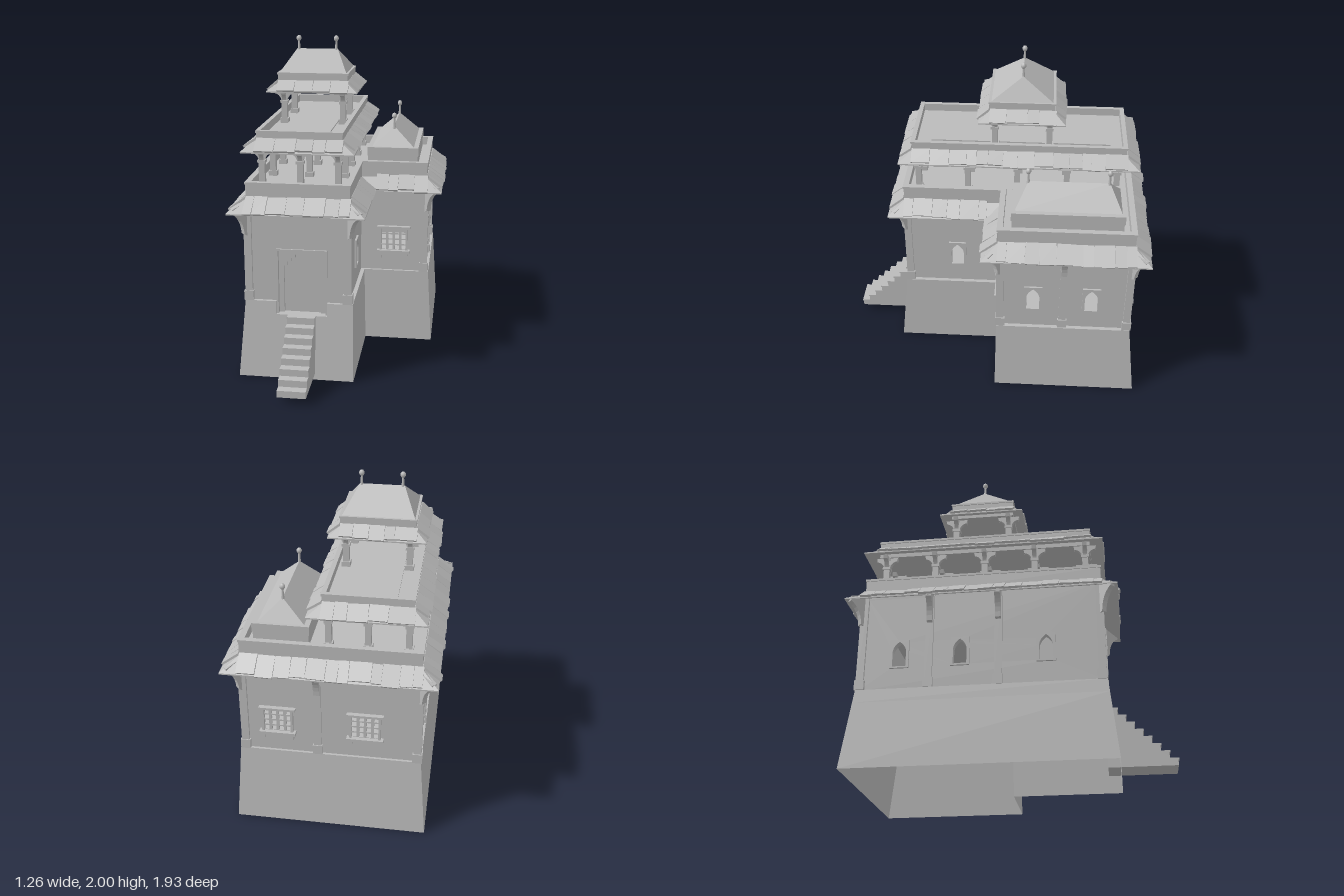
import * as THREE from 'three';

const stone = new THREE.MeshStandardMaterial({ color: 0xbababa, side: THREE.DoubleSide });
stone.name = 'grey stone';

let seed = 7;
const rand = () => (seed = (seed * 16807) % 2147483647) / 2147483647;

function add(parent, name, geo, x = 0, y = 0, z = 0) {
  const m = new THREE.Mesh(geo, stone);
  m.name = name;
  m.position.set(x, y, z);
  parent.add(m);
  return m;
}
const box = (parent, name, w, h, d, x, y, z) => add(parent, name, new THREE.BoxGeometry(w, h, d), x, y, z);
const rect = (x0, x1, z0, z1) => [[x0, z1], [x1, z1], [x1, z0], [x0, z0]];
const shapeOf = pts => new THREE.Shape(pts.map(p => new THREE.Vector2(p[0], p[1])));
const extrude = (shape, depth) => new THREE.ExtrudeGeometry(shape, { depth, bevelEnabled: false, curveSegments: 6 });

// Edge direction, outward normal and length for edge i of a plan polygon
function edge(poly, i) {
  const n = poly.length, a = poly[i % n], b = poly[(i + 1) % n];
  const len = Math.hypot(b[0] - a[0], b[1] - a[1]);
  const t = [(b[0] - a[0]) / len, (b[1] - a[1]) / len];
  return { a, b, t, out: [-t[1], t[0]], len };
}
function offset(poly, d) {
  return poly.map((p, i) => {
    const n1 = edge(poly, i + poly.length - 1).out, n2 = edge(poly, i).out;
    return [p[0] + (n1[0] + n2[0]) * d, p[1] + (n1[1] + n2[1]) * d];
  });
}
// Skin through stacked plan polygons, rings = [[poly, y], ...]
function loft(rings) {
  const v = [];
  for (let k = 0; k + 1 < rings.length; k++) {
    const [p, y0] = rings[k], [q, y1] = rings[k + 1];
    p.forEach((a, i) => {
      const j = (i + 1) % p.length, b = p[j], c = q[j], d = q[i];
      v.push(a[0], y0, a[1], b[0], y0, b[1], c[0], y1, c[1], a[0], y0, a[1], c[0], y1, c[1], d[0], y1, d[1]);
    });
  }
  const g = new THREE.BufferGeometry();
  g.setAttribute('position', new THREE.Float32BufferAttribute(v, 3));
  g.computeVertexNormals();
  return g;
}
const slab = (poly, h) => extrude(shapeOf(poly.map(p => [p[0], -p[1]])), h).rotateX(-Math.PI / 2);
const cap = poly => new THREE.ShapeGeometry(shapeOf(poly.map(p => [p[0], -p[1]]))).rotateX(-Math.PI / 2);

// Group whose x runs along an edge, y is up and z points outward
function edgeFrame(parent, name, poly, i) {
  const e = edge(poly, i), g = new THREE.Group();
  g.name = name;
  g.position.set(e.a[0], 0, e.a[1]);
  g.rotation.y = Math.atan2(e.out[0], e.out[1]);
  parent.add(g);
  return g;
}

// Sloping eave covered with uneven stone slabs
function eave(parent, poly, reach, yTop, yLow) {
  const outer = offset(poly, reach), inner = offset(poly, -0.01);
  add(parent, 'eave', loft([[inner, yTop - 0.03], [outer, yLow - 0.008], [outer, yLow], [inner, yTop]]));
  const drop = yTop - yLow, slope = Math.atan2(drop, reach), len = Math.hypot(drop, reach);
  poly.forEach((p, i) => {
    const e = edge(poly, i), o = edge(outer, i), f = edgeFrame(parent, 'eaveSlabs', poly, i);
    const along = (q, r) => (q[0] - r[0]) * e.t[0] + (q[1] - r[1]) * e.t[1];
    let s = Math.max(0, along(o.a, e.a));
    const end = Math.min(e.len, e.len + along(o.b, e.b)) + 0.01;
    while (s < end - 0.02) {
      let w = 0.055 + rand() * 0.075;
      if (end - s - w < 0.04) w = end - s;
      const l = len + (rand() - 0.4) * 0.022;
      const m = box(f, 'eaveSlab', w - 0.002, 0.013, l, s + w / 2, 0, 0);
      m.rotation.set(slope + (rand() - 0.5) * 0.08, (rand() - 0.5) * 0.05, (rand() - 0.5) * 0.05);
      m.position.y = yTop - Math.sin(slope) * l / 2 + 0.004 + rand() * 0.006;
      m.position.z = Math.cos(slope) * l / 2;
      s += w;
    }
  });
}
function parapet(parent, poly, y0, y1, thick, floor) {
  const lip = offset(poly, 0.005), inner = offset(poly, -thick);
  add(parent, 'parapet', loft([[poly, y0], [poly, y1 - 0.014], [lip, y1 - 0.014], [lip, y1], [inner, y1], [inner, floor]]));
  add(parent, 'terraceFloor', slab(offset(poly, -0.004), floor - y0), 0, y0, 0);
}

// Hipped roof: the top of a box narrowed to a ridge
function hip(parent, w, h, d, sx, sz, x, y, z) {
  const g = new THREE.BoxGeometry(w, h, d).toNonIndexed(), p = g.attributes.position;
  for (let i = 0; i < p.count; i++) if (p.getY(i) > 0) p.setXYZ(i, p.getX(i) * sx, p.getY(i), p.getZ(i) * sz);
  g.computeVertexNormals();
  add(parent, 'hippedRoof', g, x, y + h / 2, z);
}
function finial(parent, x, y, z) {
  const pts = [[0.012, -0.02], [0.008, 0.01], [0.006, 0.05], [0.01, 0.053], [0.016, 0.063], [0.016, 0.074], [0.009, 0.084], [0, 0.088]];
  add(parent, 'finial', new THREE.LatheGeometry(pts.map(p => new THREE.Vector2(...p)), 10), x, y, z);
}

// Open pillar with brackets spreading four ways
function pillar(parent, x, z, y0, y1) {
  const h = y1 - y0;
  box(parent, 'pillarBase', 0.052, 0.03, 0.052, x, y0 + 0.015, z);
  box(parent, 'pillar', 0.036, h, 0.036, x, y0 + h / 2, z);
  box(parent, 'pillarCapital', 0.048, 0.018, 0.048, x, y1 - 0.075, z);
  const s = new THREE.Shape();
  s.moveTo(-0.018, -0.066);
  s.lineTo(0.018, -0.066);
  s.quadraticCurveTo(0.028, -0.03, 0.062, -0.024);
  s.lineTo(0.068, 0);
  s.lineTo(-0.068, 0);
  s.lineTo(-0.062, -0.024);
  s.quadraticCurveTo(-0.028, -0.03, -0.018, -0.066);
  for (const r of [0, Math.PI / 2])
    add(parent, 'pillarBracket', extrude(s, 0.026).translate(0, 0, -0.013), x, y1, z).rotation.y = r;
}

// Curved bracket under the main eave; angle 0 points to +z
function eaveBracket(parent, x, z, angle, reach) {
  const s = new THREE.Shape();
  s.moveTo(0, 0.89);
  s.lineTo(0.018, 0.9);
  s.quadraticCurveTo(0.024, 1.0, reach, 1.035);
  s.lineTo(reach, 1.065);
  s.lineTo(0, 1.1);
  add(parent, 'eaveBracket', extrude(s, 0.034).translate(0, 0, -0.017), x, 0, z).rotation.y = angle - Math.PI / 2;
}
function pilaster(parent, x, z) {
  box(parent, 'pilaster', 0.046, 0.6, 0.046, x, 0.78, z);
  box(parent, 'pilasterFoot', 0.058, 0.06, 0.058, x, 0.51, z);
}

// Pointed opening centred on u
function pointedArch(u) {
  const s = new THREE.Path();
  s.moveTo(u - 0.04, 0.62);
  s.lineTo(u + 0.04, 0.62);
  s.lineTo(u + 0.04, 0.715);
  s.quadraticCurveTo(u + 0.036, 0.75, u, 0.776);
  s.quadraticCurveTo(u - 0.036, 0.75, u - 0.04, 0.715);
  s.lineTo(u - 0.04, 0.62);
  return s;
}
const block = (u, w, y0, y1) => [[u - w, y0], [u + w, y0], [u + w, y1], [u - w, y1]];

function archWindow(f, u) {
  const s = shapeOf(block(u, 0.056, 0.61, 0.79));
  s.holes.push(pointedArch(u));
  add(f, 'archWindowFrame', extrude(s, 0.012));
}
function latticeWindow(f, u) {
  const s = shapeOf(block(u, 0.09, 0.612, 0.782));
  for (let i = 0; i < 4; i++) for (let j = 0; j < 4; j++)
    s.holes.push(shapeOf(block(u + (i - 1.5) * 0.043, 0.0135, 0.625 + j * 0.037, 0.653 + j * 0.037)));
  add(f, 'windowLattice', extrude(s, 0.016), 0, 0, -0.006);
  box(f, 'windowSill', 0.215, 0.02, 0.04, u, 0.612, 0.016);
  box(f, 'windowLintel', 0.215, 0.014, 0.032, u, 0.777, 0.012);
  for (const x of [-0.085, 0.085]) {
    box(f, 'sillBracket', 0.018, 0.036, 0.022, u + x, 0.585, 0.01);
    box(f, 'windowPost', 0.014, 0.16, 0.024, u + x, 0.695, 0.01);
  }
}

export function createModel() {
  const model = new THREE.Group();

  // Battered hollow plinth with a landing niche at the door
  const foot = [[-0.57, 0.645], [0.135, 0.645], [0.135, -0.02], [0.575, -0.02], [0.575, -0.92], [-0.57, -0.92]];
  const top = [[-0.53, 0.595], [0.125, 0.595], [0.125, -0.028], [0.545, -0.028], [0.545, -0.865], [-0.53, -0.865]];
  const mid = foot.map((p, i) => p.map((c, k) => c + (top[i][k] - c) * 0.833));
  const niched = p => [p[0], [-0.34, p[0][1]], [-0.34, 0.535], [-0.03, 0.535], [-0.03, p[0][1]], ...p.slice(1)];
  add(model, 'plinth', loft([[foot, 0], [mid, 0.4]]));
  add(model, 'plinthCeiling', cap(mid), 0, 0.4, 0);
  add(model, 'plinthCourse', loft([[niched(mid), 0.4], [niched(top), 0.48]]));
  add(model, 'plinthTop', cap(niched(top)), 0, 0.48, 0);

  // Stair
  const steps = [[0.57, 0.04], [0.965, 0.04]];
  for (let i = 0; i < 8; i++) {
    const z = 0.965 - i * 0.047, y = 0.085 + i * 0.045;
    steps.push([z, y - 0.012], [z + 0.005, y - 0.012], [z + 0.005, y], [z - 0.047, y]);
  }
  steps.push([0.57, 0.4]);
  add(model, 'stair', extrude(shapeOf(steps), 0.17).rotateY(-Math.PI / 2), -0.1, 0, 0);

  // Walls with window openings
  const plan = [[-0.515, 0.575], [0.1, 0.575], [0.1, -0.045], [0.52, -0.045], [0.52, -0.85], [-0.515, -0.85]];
  const arches = [[], [0.325], [], [0.21, 0.57], [], [0.235, 0.595, 1.1]];
  const lattices = [[], [], [0.215], [], [0.205, 0.72], []];
  const midPilasters = [[], [], [], [0.395], [0.44], [0.41, 0.82]];
  plan.forEach((p, i) => {
    const { len } = edge(plan, i), f = edgeFrame(model, 'wallSide', plan, i);
    const notch = i ? [] : [[0.175, 0.48], [0.175, 0.81], [0.485, 0.81], [0.485, 0.48]];
    const s = shapeOf([[0, 0.48], ...notch, [len, 0.48], [len, 1.11], [0, 1.11]]);
    arches[i].forEach(u => { s.holes.push(pointedArch(u)); archWindow(f, u); });
    lattices[i].forEach(u => { s.holes.push(shapeOf(block(u, 0.085, 0.62, 0.775))); latticeWindow(f, u); });
    add(f, 'wall', extrude(s, 0.03), 0, 0, -0.03);
    midPilasters[i].forEach(u => { pilaster(f, u, -0.01); eaveBracket(f, u, 0.01, 0, 0.075); });
    if (i === 2) return;
    // Corner pilasters and diagonal brackets
    const a = edge(plan, i + 5).out, b = edge(plan, i).out, nx = a[0] + b[0], nz = a[1] + b[1];
    pilaster(model, p[0] - nx * 0.007, p[1] - nz * 0.007);
    eaveBracket(model, p[0] + nx * 0.005, p[1] + nz * 0.005, Math.atan2(nx, nz), 0.095);
  });

  // Recessed doorway with a stepped arch
  const half = [[0.112, 0.4], [0.112, 0.7], [0.09, 0.7], [0.09, 0.726], [0.066, 0.726], [0.066, 0.75], [0.042, 0.75], [0.042, 0.772]];
  const stepped = [...half, ...half.map(p => [-p[0], p[1]]).reverse()];
  const surround = shapeOf([[-0.155, 0.4], [-0.112, 0.4], ...stepped.slice(8, 15).reverse(), ...half.slice().reverse(), [0.155, 0.4], [0.155, 0.81], [-0.155, 0.81]]);
  add(model, 'doorSurround', extrude(surround, 0.024), -0.185, 0, 0.535);
  box(model, 'door', 0.24, 0.39, 0.012, -0.185, 0.595, 0.536);
  const rim = shapeOf([[-0.155, 0.4], [-0.143, 0.4], [-0.143, 0.798], [0.143, 0.798], [0.143, 0.4], [0.155, 0.4], [0.155, 0.81], [-0.155, 0.81]]);
  add(model, 'doorRim', extrude(rim, 0.05), -0.185, 0, 0.535);

  // Main eave and terrace
  const deck = [[-0.515, 0.58], [0.105, 0.58], [0.105, -0.035], [0.523, -0.035], [0.523, -0.85], [-0.515, -0.85]];
  eave(model, deck, 0.098, 1.12, 1.045);
  parapet(model, deck, 1.07, 1.215, 0.03, 1.16);

  // Roof of the side wing
  add(model, 'wingRoofBase', slab(rect(0.135, 0.455, -0.78, -0.115), 0.12), 0, 1.16, 0);
  add(model, 'wingRoofCornice', slab(rect(0.13, 0.46, -0.785, -0.11), 0.055), 0, 1.235, 0);
  hip(model, 0.28, 0.13, 0.64, 0.001, 0.755, 0.295, 1.285, -0.448);
  for (const z of [-0.205, -0.685]) finial(model, 0.295, 1.415, z);

  // Pillared gallery
  for (const x of [-0.43, -0.2, 0.025])
    for (let k = 0; k < 5; k++) pillar(model, x, 0.49 - k * 0.31, 1.16, 1.4);
  const gallery = rect(-0.455, 0.053, -0.795, 0.522);
  eave(model, gallery, 0.08, 1.457, 1.4);
  parapet(model, gallery, 1.4, 1.513, 0.022, 1.465);
  add(model, 'galleryRoofPanel', slab(rect(-0.355, -0.05, -0.7, 0.41), 0.008), 0, 1.465, 0);

  // Top pavilion
  for (const x of [-0.385, -0.012]) for (const z of [0.012, -0.322]) pillar(model, x, z, 1.465, 1.675);
  const pavilion = rect(-0.418, 0.02, -0.35, 0.042);
  eave(model, pavilion, 0.066, 1.73, 1.675);
  add(model, 'pavilionDrum', slab(pavilion, 0.1), 0, 1.675, 0);
  add(model, 'pavilionCornice', slab(offset(pavilion, 0.005), 0.012), 0, 1.773, 0);
  hip(model, 0.42, 0.13, 0.37, 0.62, 0.001, -0.199, 1.785, -0.154);
  for (const x of [-0.318, -0.078]) finial(model, x, 1.912, -0.154);

  return model;
}
